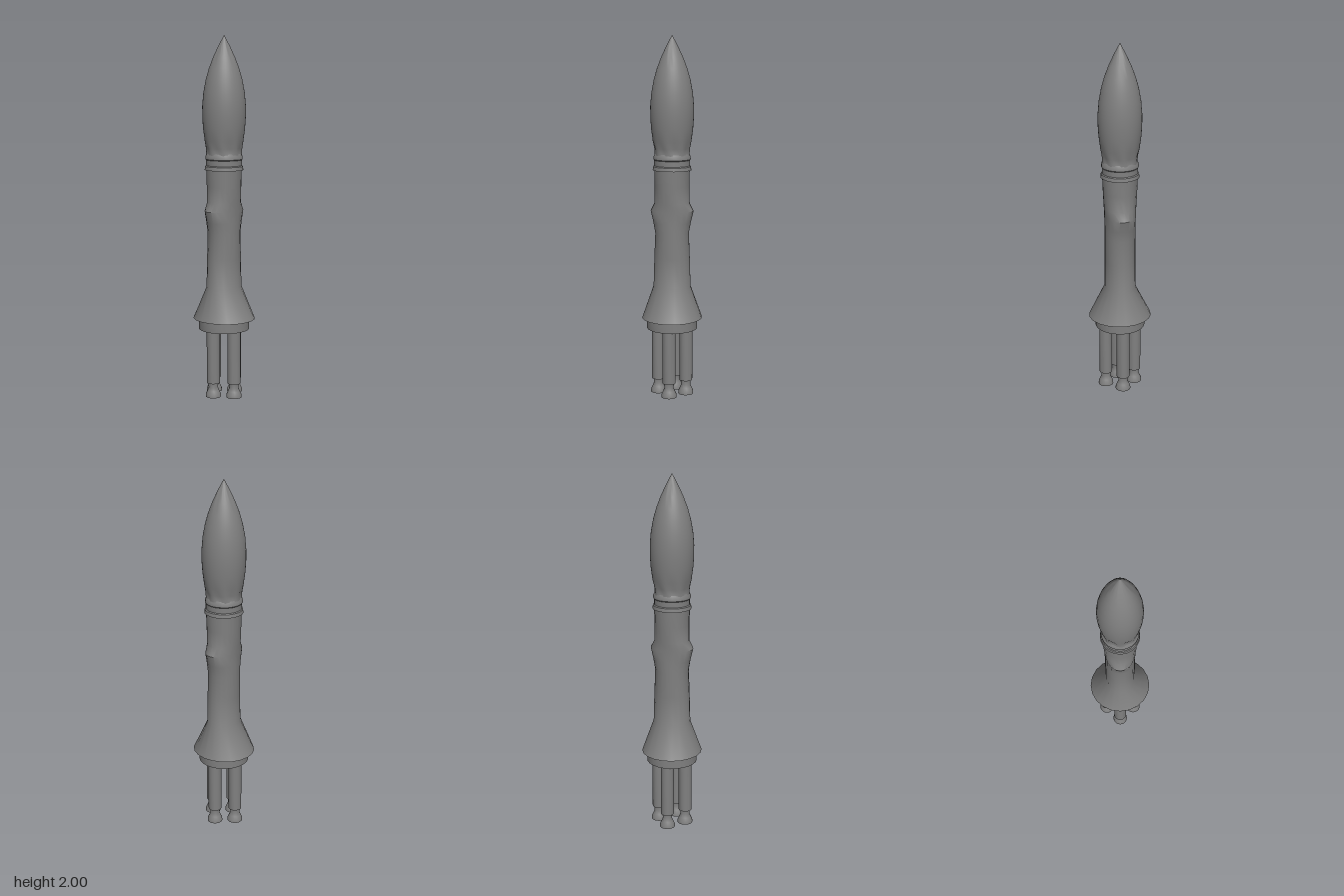
import * as THREE from 'three';
import { toCreasedNormals } from 'three/addons/utils/BufferGeometryUtils.js';

// Turned shape from bottom to top; each row is [y, radius in x, radius in z (optional)]
function turned(rows, sides) {
  const geo = new THREE.LatheGeometry(rows.map(([y, r]) => new THREE.Vector2(r, y)), sides);
  const pos = geo.attributes.position;
  for (let i = 0; i < pos.count; i++) {
    const [, rx, rz = rx] = rows[i % rows.length];
    if (rx > 0) pos.setZ(i, pos.getZ(i) * rz / rx);
  }
  return geo;
}

export function createModel() {
  const model = new THREE.Group();
  model.name = 'rocket';
  const grey = new THREE.MeshStandardMaterial({ color: 0x808080, side: THREE.DoubleSide });
  grey.name = 'grey';

  const add = (name, geo, parent = model) => {
    const mesh = new THREE.Mesh(toCreasedNormals(geo, 0.6), grey);
    mesh.name = name;
    parent.add(mesh);
    return mesh;
  };

  // Flared body, with a bulge on the left and right
  add('body', turned([
    [0.44, 0, 0], [0.44, 0.168, 0.177], [0.62, 0.105, 0.086], [0.78, 0.1, 0.085],
    [0.92, 0.094, 0.085], [0.98, 0.105, 0.085], [1.045, 0.121, 0.085],
    [1.09, 0.097, 0.089], [1.18, 0.096, 0.094], [1.28, 0.098, 0.098],
  ], 20));

  // Collar under the nose
  add('collar', turned([
    [1.27, 0.09], [1.27, 0.107], [1.29, 0.104], [1.295, 0.099], [1.325, 0.099],
    [1.33, 0.103], [1.345, 0.102], [1.36, 0.095],
  ], 20));

  // Pointed nose, with a scalloped lower edge
  const noseRows = [
    [1.345, 0.098], [1.365, 0.095], [1.39, 0.097], [1.43, 0.106], [1.5, 0.115],
    [1.56, 0.119], [1.62, 0.119], [1.69, 0.113], [1.76, 0.1], [1.82, 0.083],
    [1.88, 0.06], [1.94, 0.032], [2, 0],
  ];
  const nose = turned(noseRows, 40);
  const p = nose.attributes.position;
  for (let i = 0; i < p.count; i++) {
    const row = i % noseRows.length;
    if (row === 1 || row === 2) {
      const k = 1 + 0.03 * Math.cos(8 * Math.atan2(p.getX(i), p.getZ(i)));
      p.setXYZ(i, p.getX(i) * k, p.getY(i), p.getZ(i) * k);
    }
  }
  add('nose', nose);

  // Hollow ring under the flare
  add('skirtRing', turned([
    [0.44, 0.132], [0.38, 0.132], [0.38, 0.141], [0.44, 0.141],
  ], 24));

  // Four engines, each a tube with an open bell
  for (const [x, z] of [[0.079, 0], [-0.079, 0], [0, 0.084], [0, -0.084]]) {
    const engine = new THREE.Group();
    engine.name = 'engine';
    engine.position.set(x, 0, z);
    add('engineTube', turned([[0.08, 0], [0.08, 0.037], [0.44, 0.037]], 20), engine);
    add('engineBell', turned([
      [0.055, 0], [0.035, 0.025], [0, 0.038], [0, 0.043], [0.016, 0.042],
      [0.035, 0.033], [0.052, 0.026], [0.08, 0.028],
    ], 20), engine);
    model.add(engine);
  }
  return model;
}
